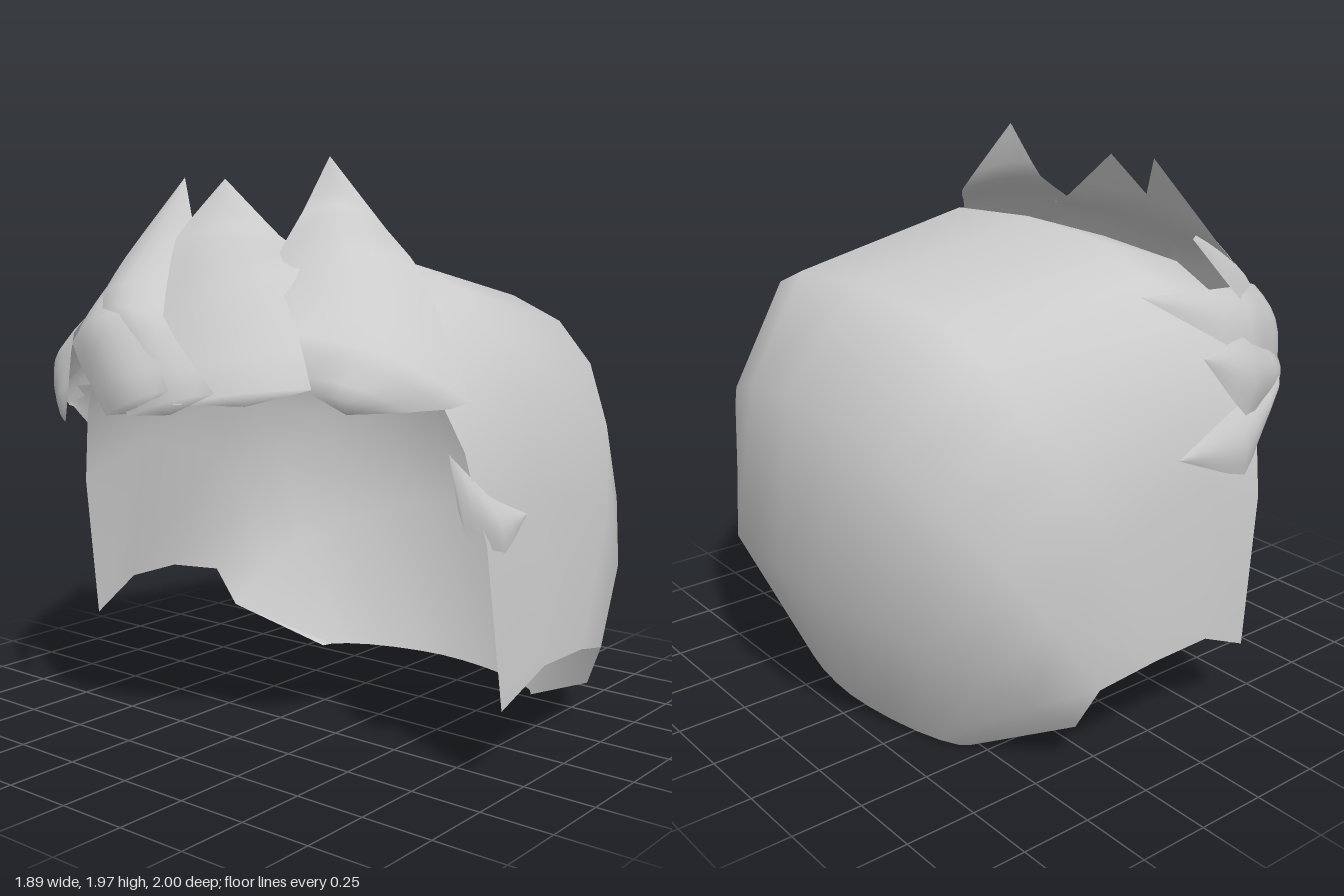
import * as THREE from 'three';

const material = new THREE.MeshStandardMaterial({ color: 0xcccccc, side: THREE.DoubleSide });
const MID_Z = 0.06;
const HEAD = new THREE.Vector3(0, 0.8, MID_Z);

// Smooth surface through rows of points
function surface(name, rows) {
  const w = rows[0].length;
  const index = [];
  for (let i = 0; i < rows.length - 1; i++) {
    for (let j = 0; j < w - 1; j++) {
      const a = i * w + j;
      index.push(a, a + w, a + 1, a + 1, a + w, a + w + 1);
    }
  }
  const geometry = new THREE.BufferGeometry().setFromPoints(rows.flat());
  geometry.setIndex(index);
  geometry.computeVertexNormals();
  const mesh = new THREE.Mesh(geometry, material);
  mesh.name = name;
  return mesh;
}

// Cap: arches from one side over the crown to the other, front rim to nape.
// side: x, y, half width at the hem; top: x, y on the centre line; n: squareness
const ARCHES = [
  { side: [-0.34, 0.26, 0.91], top: [-0.5, 1.52], n: 3.1 },
  { side: [-0.13, 0.36, 0.935], top: [-0.13, 1.64], n: 3.2 },
  { side: [0.1, 0.36, 0.94], top: [0.6, 1.51], n: 2.8 },
  { side: [0.31, 0.31, 0.9], top: [0.87, 1.18], n: 2.2 },
  { side: [0.35, 0.16, 0.83], top: [0.94, 0.6], n: 2.05 },
  { side: [0.53, 0, 0.5], top: [0.68, 0.02], n: 1.7 },
];
const COLS = 12;

function capRows(shrink) {
  return ARCHES.map(({ side, top, n }, i) => {
    const row = [];
    for (let j = 0; j <= COLS; j++) {
      const t = (j / COLS) * Math.PI;
      const c = Math.sign(Math.cos(t)) * Math.abs(Math.cos(t)) ** (2 / n);
      const s = j % COLS ? Math.sin(t) ** (2 / n) : 0;
      const p = new THREE.Vector3(
        side[0] + (top[0] - side[0]) * s,
        side[1] + (top[1] - side[1]) * s,
        MID_Z + side[2] * c,
      );
      // the lining meets the outer layer along the rim
      const rim = i === 0 || i === ARCHES.length - 1 || j === 0 || j === COLS;
      if (!rim) p.lerp(HEAD, shrink);
      row.push(p);
    }
    return row;
  });
}

// Tuft: two edge curves that start at the tip, with a surface bulged off the head between them
function tuft(name, bulge, tip, edgeA, edgeB) {
  const curve = (edge) => new THREE.CatmullRomCurve3(
    [tip, ...edge].map((p) => new THREE.Vector3(...p)), false, 'catmullrom', 0.2);
  const a = curve(edgeA);
  const b = curve(edgeB);
  const length = edgeA.length * 3;
  const width = 6;
  const end = a.getPoint(1).lerp(b.getPoint(1), 0.5);
  end.y -= 0.03;
  const layer = (height) => {
    const rows = [];
    for (let i = 0; i <= length; i++) {
      const p = a.getPoint(i / length);
      const q = b.getPoint(i / length);
      const out = p.clone().lerp(q, 0.5).sub(HEAD).normalize();
      const h = height * Math.sin(Math.PI * 0.85 * (i / length));
      rows.push(Array.from({ length: width + 1 }, (_, j) =>
        p.clone().lerp(q, j / width).addScaledVector(out, h * Math.sin((Math.PI * j) / width))));
    }
    rows.push(Array(width + 1).fill(end));
    return rows;
  };
  const group = new THREE.Group();
  group.name = name;
  group.add(surface(name + 'Outer', layer(bulge)), surface(name + 'Inner', layer(bulge * 0.3)));
  return group;
}

export function createModel() {
  const model = new THREE.Group();
  model.name = 'hair';
  model.add(surface('cap', capRows(0)), surface('capLining', capRows(0.05)));

  // Large bang over the forehead
  model.add(tuft('frontBang', 0.08, [-0.06, 1.97, 0.07],
    [[-0.17, 1.78, 0.04], [-0.5, 1.61, 0.2], [-0.74, 1.41, 0.5], [-0.76, 1.24, 0.57]],
    [[0, 1.72, 0.27], [-0.24, 1.59, 0.58], [-0.4, 1.21, 0.88], [-0.66, 1.19, 0.74]]));

  // Tufts standing up at the crown
  model.add(tuft('crownTuftFront', 0.05, [-0.17, 1.9, -0.32],
    [[-0.34, 1.69, -0.4], [-0.78, 1.45, -0.02], [-0.94, 1.2, 0.18]],
    [[-0.2, 1.7, -0.04], [-0.48, 1.6, 0.36], [-0.74, 1.26, 0.58]]));
  model.add(tuft('crownTuftBack', 0.05, [-0.16, 1.91, -0.53],
    [[-0.38, 1.62, -0.62], [-0.7, 1.44, -0.43], [-0.94, 1.15, -0.02]],
    [[-0.3, 1.69, -0.35], [-0.78, 1.45, -0.02], [-0.91, 1.24, 0.32]]));

  // Tufts swept back along the right side
  model.add(tuft('sweptTuftUpper', 0.05, [-0.09, 1.7, -0.78],
    [[-0.4, 1.44, -0.72], [-0.74, 1.34, -0.5], [-0.92, 1.14, -0.14]],
    [[-0.42, 1.62, -0.48], [-0.78, 1.46, -0.12], [-0.94, 1.24, 0.16]]));
  model.add(tuft('sweptTuftMiddle', 0.04, [0.15, 1.56, -0.81],
    [[-0.35, 1.28, -0.81], [-0.7, 1.15, -0.63], [-0.82, 1.09, -0.46]],
    [[-0.42, 1.48, -0.67], [-0.8, 1.38, -0.42], [-0.94, 1.16, -0.3]]));
  model.add(tuft('sweptTuftLower', 0.04, [0, 1.37, -0.93],
    [[-0.24, 1.13, -0.9], [-0.56, 1.1, -0.74]],
    [[-0.34, 1.35, -0.79], [-0.64, 1.2, -0.68]]));

  // Small tufts low on each side
  model.add(tuft('sideTuftRight', 0.03, [0.16, 1.1, -1],
    [[-0.24, 0.93, -0.91], [-0.5, 1.08, -0.78]],
    [[-0.22, 1.14, -0.86], [-0.57, 1.16, -0.75]]));
  model.add(tuft('sideTuftLeft', 0.02, [-0.23, 0.86, 0.98],
    [[-0.38, 0.93, 0.94], [-0.48, 1.06, 0.86]],
    [[-0.35, 0.76, 0.98], [-0.44, 0.8, 0.9]]));
  return model;
}
